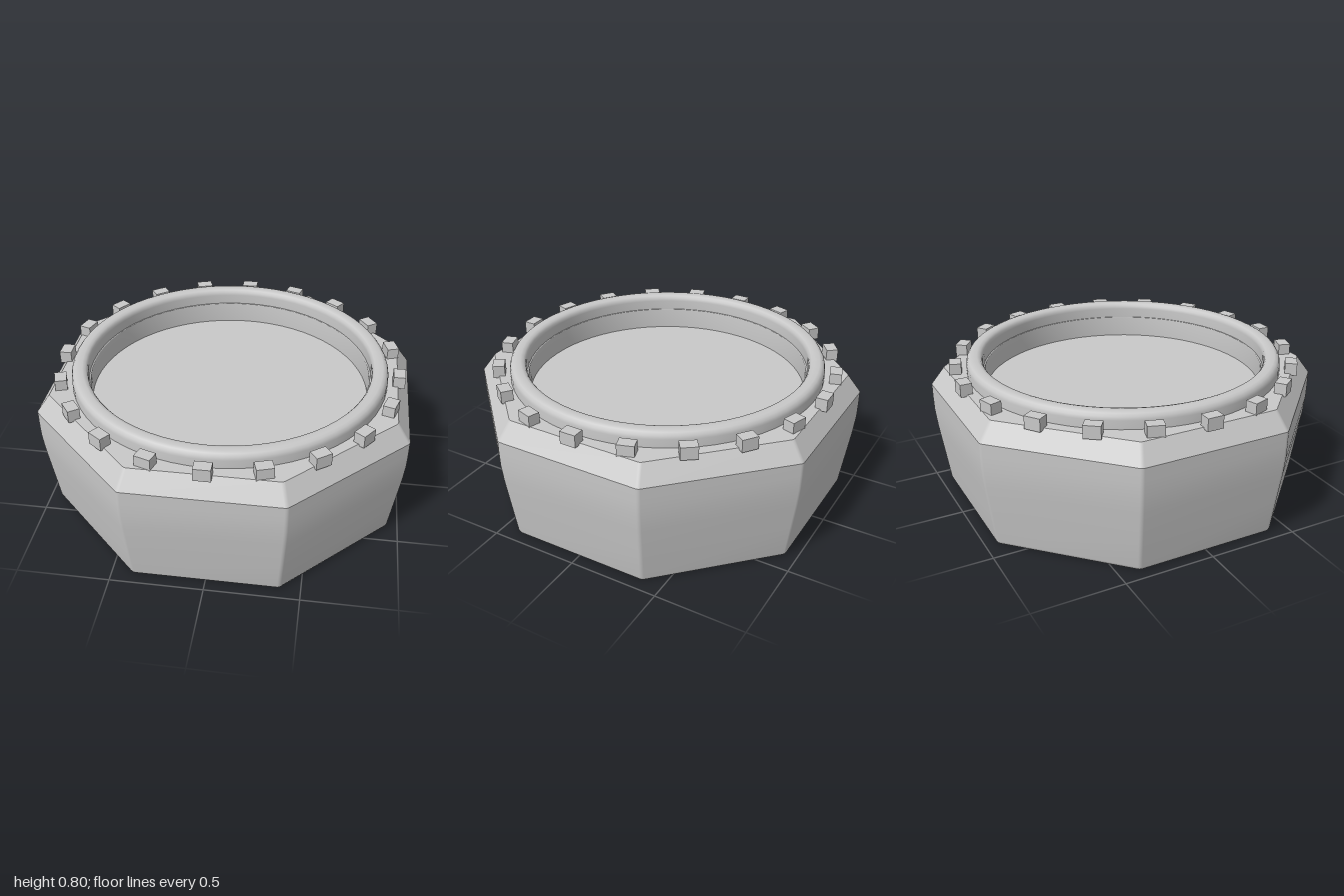
import * as THREE from 'three';

const FACETS = 8;
const STUDS = 20;

// Octagon outline as [x, z] points, with each corner rounded by a small arc
function octagon(apothem, radius = 0.03, steps = 3) {
  const half = Math.PI / FACETS;
  const reach = (apothem - radius) / Math.cos(half);
  const points = [];
  for (let k = 0; k < FACETS; k++) {
    const corner = half + k * 2 * half;
    for (let s = 0; s <= steps; s++) {
      const a = corner - half + (s / steps) * 2 * half;
      points.push([
        Math.sin(corner) * reach + Math.sin(a) * radius,
        Math.cos(corner) * reach + Math.cos(a) * radius,
      ]);
    }
  }
  return points;
}

// Skin a stack of octagons given as [apothem, height], from bottom to top
function loft(profile) {
  const positions = [];
  const index = [];
  const n = octagon(1).length;
  profile.forEach(([apothem, y]) => {
    octagon(apothem).forEach(([x, z]) => positions.push(x, y, z));
  });
  for (let j = 0; j < profile.length - 1; j++) {
    for (let i = 0; i < n; i++) {
      const next = (i + 1) % n;
      const a = j * n + i, b = j * n + next;
      index.push(a, b, b + n, a, b + n, a + n);
    }
  }
  const geometry = new THREE.BufferGeometry();
  geometry.setAttribute('position', new THREE.Float32BufferAttribute(positions, 3));
  geometry.setIndex(index);
  geometry.computeVertexNormals();
  return geometry;
}

function octagonShape(apothem) {
  return new THREE.Shape(octagon(apothem).map(([x, z]) => new THREE.Vector2(x, z)));
}

function lathe(profile) {
  return new THREE.LatheGeometry(profile.map(([r, y]) => new THREE.Vector2(r, y)), 64);
}

export function createModel() {
  const model = new THREE.Group();
  model.name = 'octagonalBasin';
  const grey = new THREE.MeshStandardMaterial({ color: 0xc8c8c8 });
  grey.name = 'light grey';

  const add = (name, geometry, parent = model) => {
    const mesh = new THREE.Mesh(geometry, grey);
    mesh.name = name;
    parent.add(mesh);
    return mesh;
  };

  // Octagonal body: bulging wall, sloped shoulder, underside and flat top
  add('bodyWall', loft([
    [0.92, 0], [0.933, 0.004], [0.941, 0.02], [0.966, 0.2], [0.988, 0.36],
    [0.998, 0.46], [1, 0.54], [1, 0.615],
  ]));
  add('shoulder', loft([[1, 0.615], [0.93, 0.715]]));
  add('underside', new THREE.ShapeGeometry(octagonShape(0.92)).rotateX(Math.PI / 2));

  const deck = octagonShape(0.93);
  deck.holes.push(new THREE.Path().absarc(0, 0, 0.8, 0, Math.PI * 2, true));
  add('deck', new THREE.ShapeGeometry(deck, 32).rotateX(-Math.PI / 2).translate(0, 0.715, 0));

  // Rounded rim ring around the opening
  add('rim', lathe([
    [0.875, 0.7], [0.875, 0.762], [0.87, 0.78], [0.859, 0.794], [0.843, 0.8],
    [0.815, 0.8], [0.798, 0.795], [0.788, 0.782], [0.785, 0.765], [0.785, 0.71],
  ]));

  // Round recess inside the rim
  add('recessWall', lathe([[0.785, 0.71], [0.775, 0.71], [0.775, 0.59]]));
  add('recessFloor', new THREE.CircleGeometry(0.78, 64).rotateX(-Math.PI / 2).translate(0, 0.59, 0));

  // Ring of small block studs
  const studs = new THREE.Group();
  studs.name = 'studs';
  model.add(studs);
  const studGeometry = new THREE.BoxGeometry(0.09, 0.07, 0.065);
  for (let i = 0; i < STUDS; i++) {
    const angle = (i / STUDS) * Math.PI * 2;
    const stud = add('stud', studGeometry, studs);
    stud.position.set(Math.sin(angle) * 0.935, 0.74, Math.cos(angle) * 0.935);
    stud.rotation.y = angle;
  }

  return model;
}
